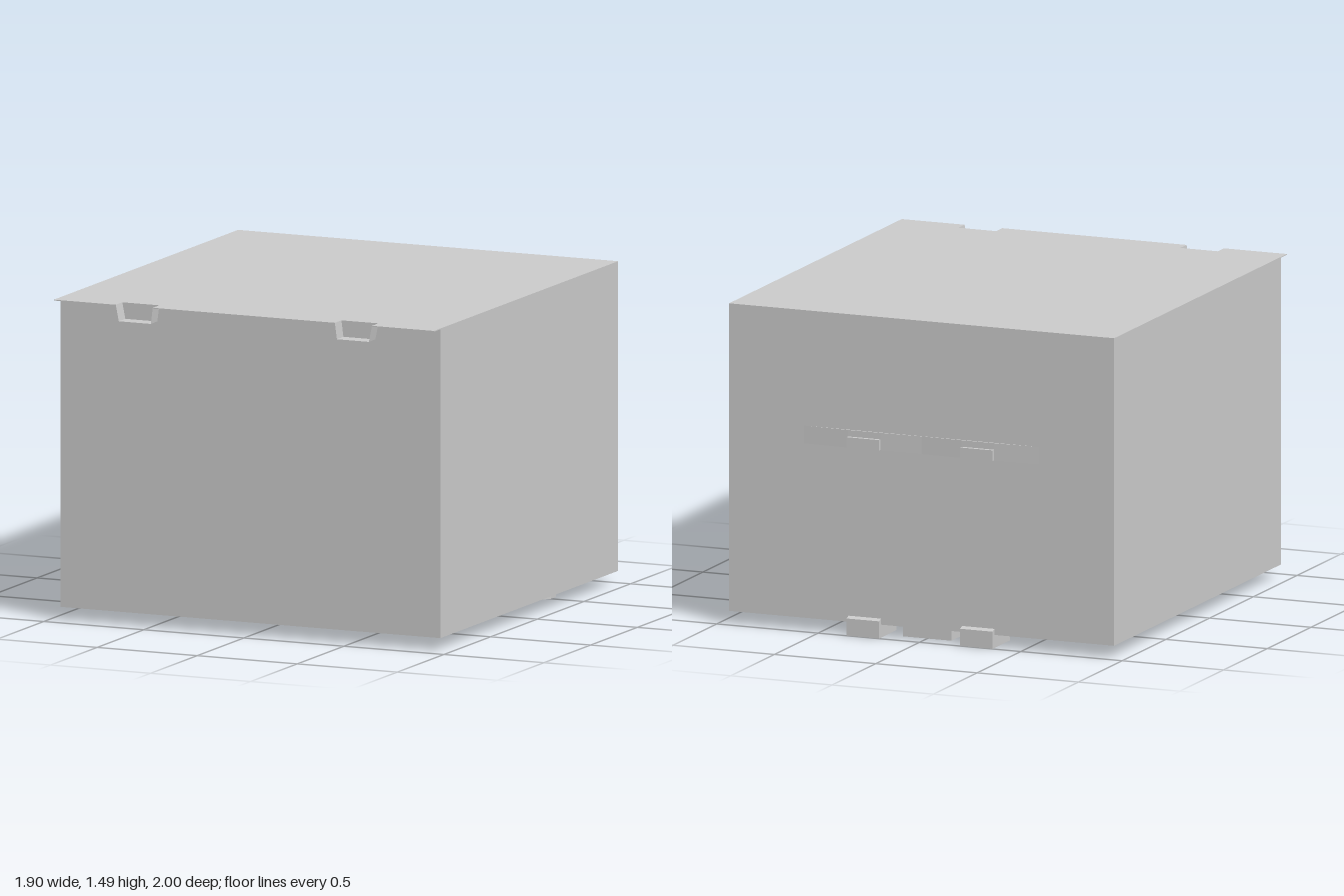
import * as THREE from 'three';

export function createModel() {
  const group = new THREE.Group();
  const mat = new THREE.MeshStandardMaterial({ color: 0xcccccc, flatShading: true, side: THREE.DoubleSide });

  const add = (name, geo) => {
    const mesh = new THREE.Mesh(geo, mat);
    mesh.name = name;
    group.add(mesh);
    return mesh;
  };
  // Box given by its limits on each axis
  const box = (name, x0, x1, y0, y1, z0, z1) =>
    add(name, new THREE.BoxGeometry(x1 - x0, y1 - y0, z1 - z0))
      .position.set((x0 + x1) / 2, (y0 + y1) / 2, (z0 + z1) / 2);
  const outline = (pts) => new THREE.Shape(pts.map(([x, y]) => new THREE.Vector2(x, y)));
  // Flat outline in x and z, raised from y0 to y1
  const slab = (name, pts, y0, y1) => {
    const geo = new THREE.ExtrudeGeometry(outline(pts.map(([x, z]) => [x, -z])), { depth: y1 - y0, bevelEnabled: false });
    geo.rotateX(-Math.PI / 2);
    geo.translate(0, y0, 0);
    return add(name, geo);
  };

  const W = 0.95, TOP = 1.485, BACK = -0.975, FRONT = 0.93;
  box('body', -W, W, 0.06, TOP - 0.004, BACK, FRONT);

  // Thin lid overhanging the front, with two notches in its edge
  const notch = [0.455, 0.64];
  const lid = [[-W, BACK], [W, BACK], [W, 1]];
  for (const [a, b] of [[notch[1], notch[0]], [-notch[0], -notch[1]]])
    lid.push([a, 1], [a, FRONT], [b, FRONT], [b, 1]);
  lid.push([-W, 1]);
  slab('lid', lid, TOP - 0.004, TOP);

  for (const s of [-1, 1]) {
    // Open finger scoop under each notch: tapered sides and a floor
    const path = [[notch[0], TOP], [0.465, 1.41], [0.625, 1.41], [notch[1], TOP]];
    const pos = path.flatMap(([x, y]) => [s * x, y, FRONT, s * x, y, 1]);
    const idx = [];
    for (let i = 0; i < 3; i++) {
      const k = 2 * i;
      if (s > 0) idx.push(k, k + 1, k + 2, k + 1, k + 3, k + 2);
      else idx.push(k, k + 2, k + 1, k + 1, k + 2, k + 3);
    }
    const scoop = new THREE.BufferGeometry();
    scoop.setAttribute('position', new THREE.Float32BufferAttribute(pos, 3));
    scoop.setIndex(idx);
    scoop.computeVertexNormals();
    add('fingerScoop', scoop);

    // Hook on the back rim
    box('rimHook', s * 0.28 - 0.08, s * 0.28 + 0.08, 0.87, 0.92, -1, BACK);

    // Lower hinge hook wrapping round the back edge
    const hook = new THREE.ExtrudeGeometry(
      outline([[0.8, 0], [1, 0], [1, 0.08], [0.975, 0.088], [0.975, 0.06], [0.8, 0.06]]),
      { depth: 0.16, bevelEnabled: false });
    hook.rotateY(Math.PI / 2);
    hook.translate(s * 0.28 - 0.08, 0, 0);
    add('hingeHook', hook);

    // Round rear foot
    add('rearFoot', new THREE.CylinderGeometry(0.08, 0.08, 0.06, 10)).position.set(s * 0.76, 0.03, -0.525);

    // Shallow pads under the front
    for (const z of [0.57, 0.21])
      box('frontPad', s * 0.74 - 0.12, s * 0.74 + 0.12, 0.056, 0.06, z - 0.04, z + 0.04);
  }

  // Shallow bulging rim across the back
  slab('backRim', [[0.58, BACK], [0.36, -0.983], [0.2, -0.983], [0, -0.978],
    [-0.2, -0.983], [-0.36, -0.983], [-0.58, BACK]], 0.868, 0.95);

  box('hingeBlock', -0.12, 0.12, 0, 0.06, -0.91, -0.8);
  return group;
}
